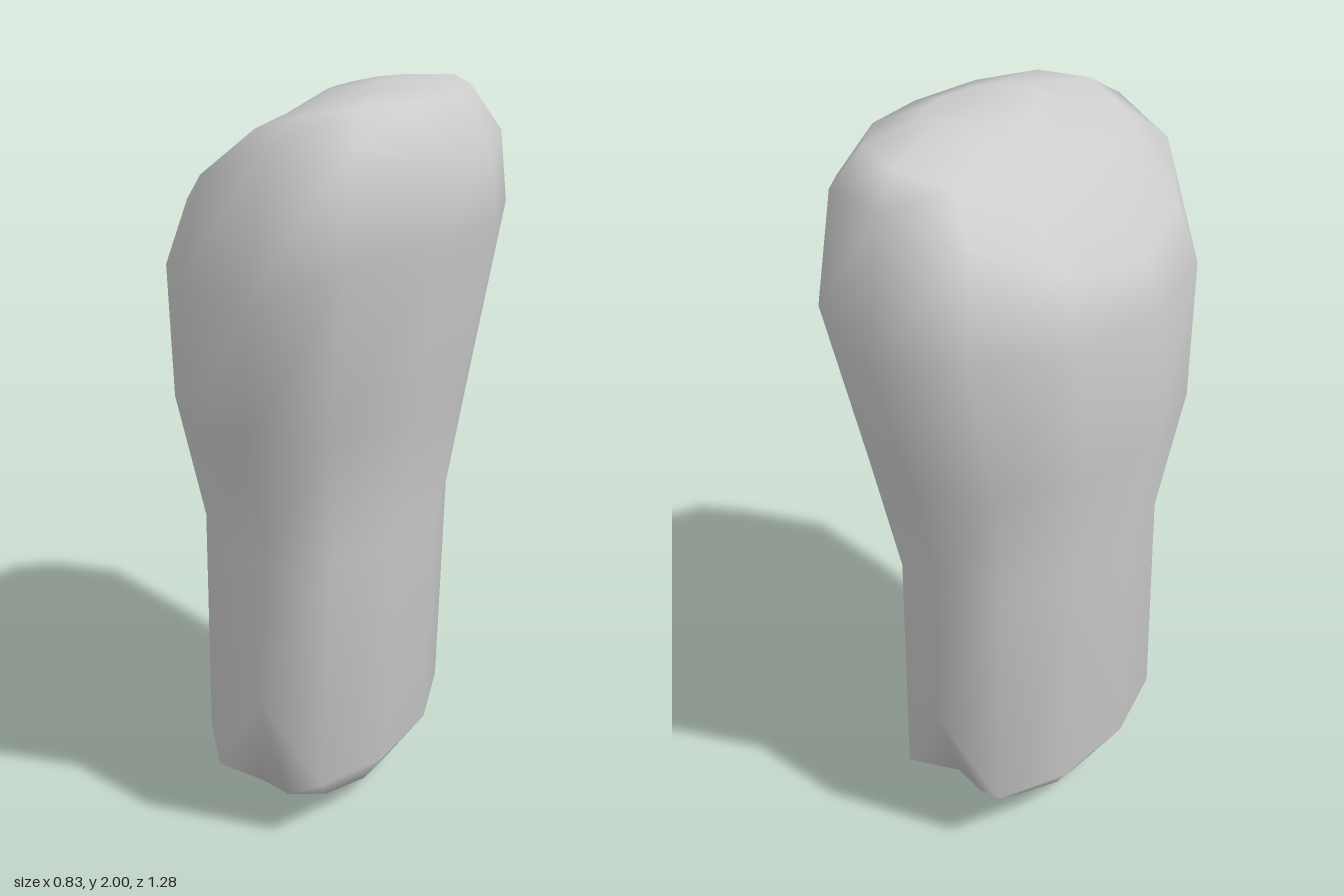
import * as THREE from 'three';

const SIDES = 12;

// Cross-sections from bottom to top. xL/xR and yL/yR: right-hand and left-hand ends of the ring,
// z: half depth, bump: lift of the middle, tip: extra lift of the front and back points only.
const RINGS = [
  { xL: -0.25, xR: 0.15, yL: 0.05, yR: 0.05, z: 0.30 },
  { xL: -0.35, xR: 0.255, yL: 0.20, yR: 0.20, z: 0.50, tip: 0.275 },
  { xL: -0.355, xR: 0.28, yL: 0.85, yR: 0.85, z: 0.46 },
  { xL: -0.42, xR: 0.34, yL: 1.20, yR: 1.21, z: 0.55 },
  { xL: -0.41, xR: 0.415, yL: 1.56, yR: 1.67, z: 0.64, tip: -0.055 },
  { xL: -0.36, xR: 0.40, yL: 1.68, yR: 1.83, z: 0.56, bump: 0.15 },
  { xL: -0.20, xR: 0.31, yL: 1.86, yR: 1.975, z: 0.45, bump: 0.05 },
  { xL: -0.02, xR: 0.23, yL: 1.985, yR: 1.995, z: 0.20, bump: 0.01 },
];
const BOTTOM = [-0.05, 0, 0];
const TOP = [0.1, 2, 0];

function loft(rings, bottom, top) {
  const positions = [];
  const index = [];
  for (const { xL, xR, yL, yR, z, bump = 0, tip = 0 } of rings) {
    for (let j = 0; j < SIDES; j++) {
      const a = (j / SIDES) * Math.PI * 2;
      const c = Math.cos(a), s = Math.sin(a);
      const t = (c + 1) / 2;
      const y = yL + (yR - yL) * t + bump * s * s + (Math.abs(s) > 0.99 ? tip : 0);
      positions.push(xL + (xR - xL) * t, y, z * s);
    }
  }
  const low = rings.length * SIDES;
  const high = low + 1;
  positions.push(...bottom, ...top);

  const last = (rings.length - 1) * SIDES;
  for (let j = 0; j < SIDES; j++) {
    const k = (j + 1) % SIDES;
    for (let r = 0; r < last; r += SIDES) {
      index.push(r + j, r + SIDES + j, r + k);
      index.push(r + k, r + SIDES + j, r + SIDES + k);
    }
    // end caps
    index.push(low, j, k);
    index.push(high, last + k, last + j);
  }

  const geometry = new THREE.BufferGeometry();
  geometry.setAttribute('position', new THREE.Float32BufferAttribute(positions, 3));
  geometry.setIndex(index);
  geometry.computeVertexNormals();
  return geometry;
}

export function createModel() {
  const group = new THREE.Group();
  group.name = 'roundedPillar';

  // single smooth body: rounded foot, slight waist, wide slanted head
  const body = new THREE.Mesh(
    loft(RINGS, BOTTOM, TOP),
    new THREE.MeshStandardMaterial({ color: 0xcccccc })
  );
  body.name = 'body';
  group.add(body);
  return group;
}
